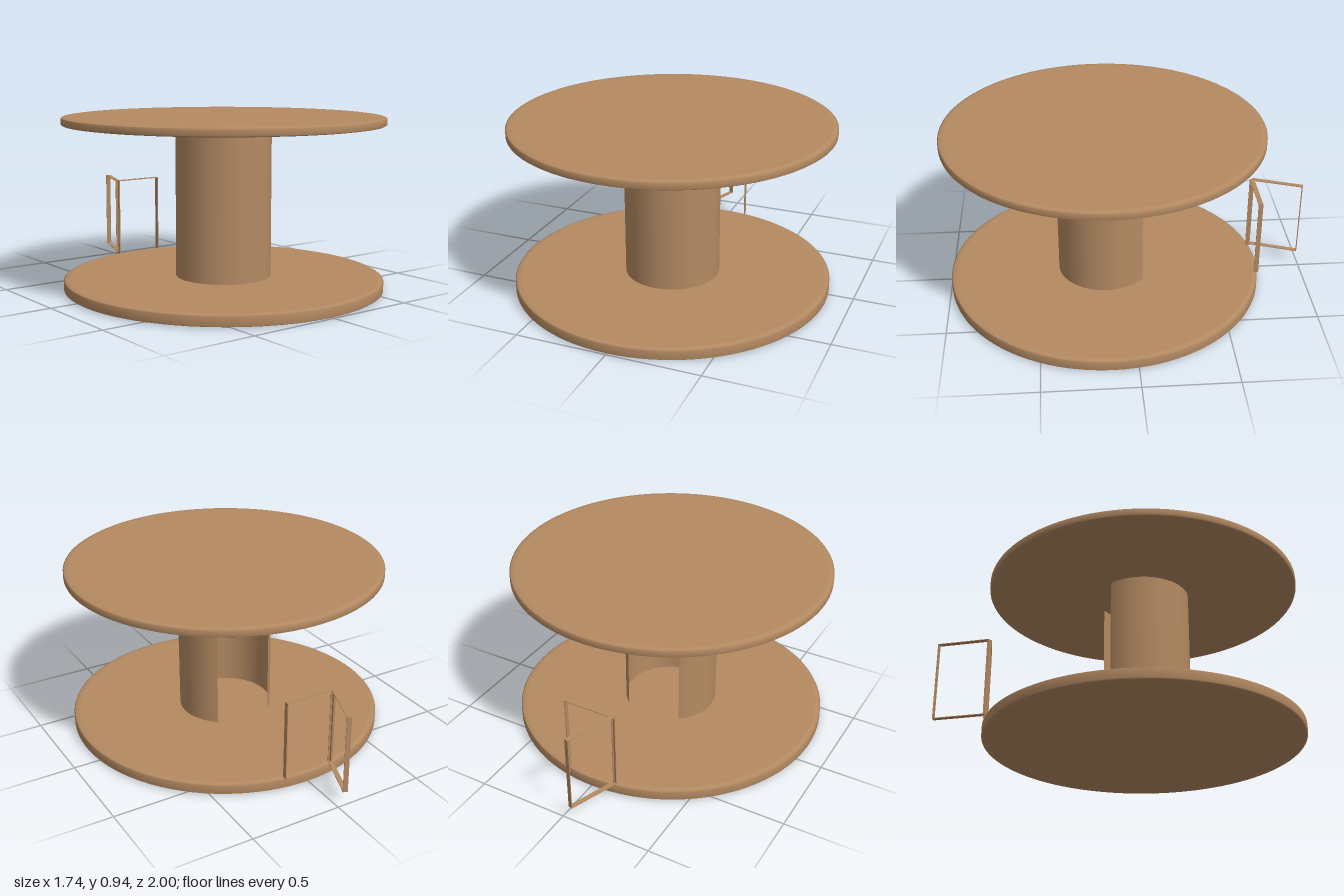
import * as THREE from 'three';

const CENTRE_Z = 0.13;

export function createModel() {
  const group = new THREE.Group();
  const wood = new THREE.MeshStandardMaterial({ color: 0xb48a62 });
  wood.name = 'wood brown';
  const thinWood = new THREE.MeshStandardMaterial({ color: 0xb48a62, side: THREE.DoubleSide });
  thinWood.name = 'wood brown';

  const add = (parent, name, geometry, material, x, y, z) => {
    const mesh = new THREE.Mesh(geometry, material);
    mesh.name = name;
    mesh.position.set(x, y, z);
    parent.add(mesh);
    return mesh;
  };

  // Round slab with a slightly eased rim; doubled points keep flat faces flat
  const slab = (name, y0, y1) => {
    const r = 0.87, b = 0.008;
    const points = [
      [0, y0], [r - 0.03, y0], [r - 0.03, y0], [r - b, y0 + 0.003], [r, y0 + b],
      [r, y1 - b], [r - b, y1 - 0.003], [r - 0.03, y1], [r - 0.03, y1], [0, y1],
    ].map(([x, y]) => new THREE.Vector2(x, y));
    add(group, name, new THREE.LatheGeometry(points, 96), wood, 0, 0, CENTRE_Z);
  };
  slab('baseDisc', 0, 0.063);
  slab('topDisc', 0.89, 0.937);

  // Hollow column, open toward the back
  const gap = THREE.MathUtils.degToRad(38.7);
  add(group, 'column',
    new THREE.CylinderGeometry(0.26, 0.26, 0.827, 64, 1, true, Math.PI + gap, 2 * (Math.PI - gap)),
    thinWood, 0, 0.063 + 0.827 / 2, CENTRE_Z);

  // Thin bands: two posts and a top rail, with an optional bottom rail
  const W = 0.026, T = 0.004, TOP = 0.507;
  const bandFrame = (name, width, bottom, hasSill) => {
    const frame = new THREE.Group();
    frame.name = name;
    const h = TOP - bottom;
    for (const x of [0, width]) {
      add(frame, 'post', new THREE.BoxGeometry(T, h, W), wood, x, bottom + h / 2, 0);
    }
    for (const y of hasSill ? [TOP - T / 2, bottom + T / 2] : [TOP - T / 2]) {
      add(frame, 'rail', new THREE.BoxGeometry(width, T, W), wood, width / 2, y, 0);
    }
    group.add(frame);
    return frame;
  };

  // Doorway at the rear rim
  bandFrame('doorFrame', 0.28, 0.06, false).position.set(-0.14, 0, -0.723);

  // Door leaf swung outward from the hinge post
  const leaf = bandFrame('doorLeaf', 0.286, 0.073, true);
  leaf.position.set(-0.142, 0, -0.724);
  leaf.rotation.y = Math.atan2(0.268, 0.098);

  return group;
}
